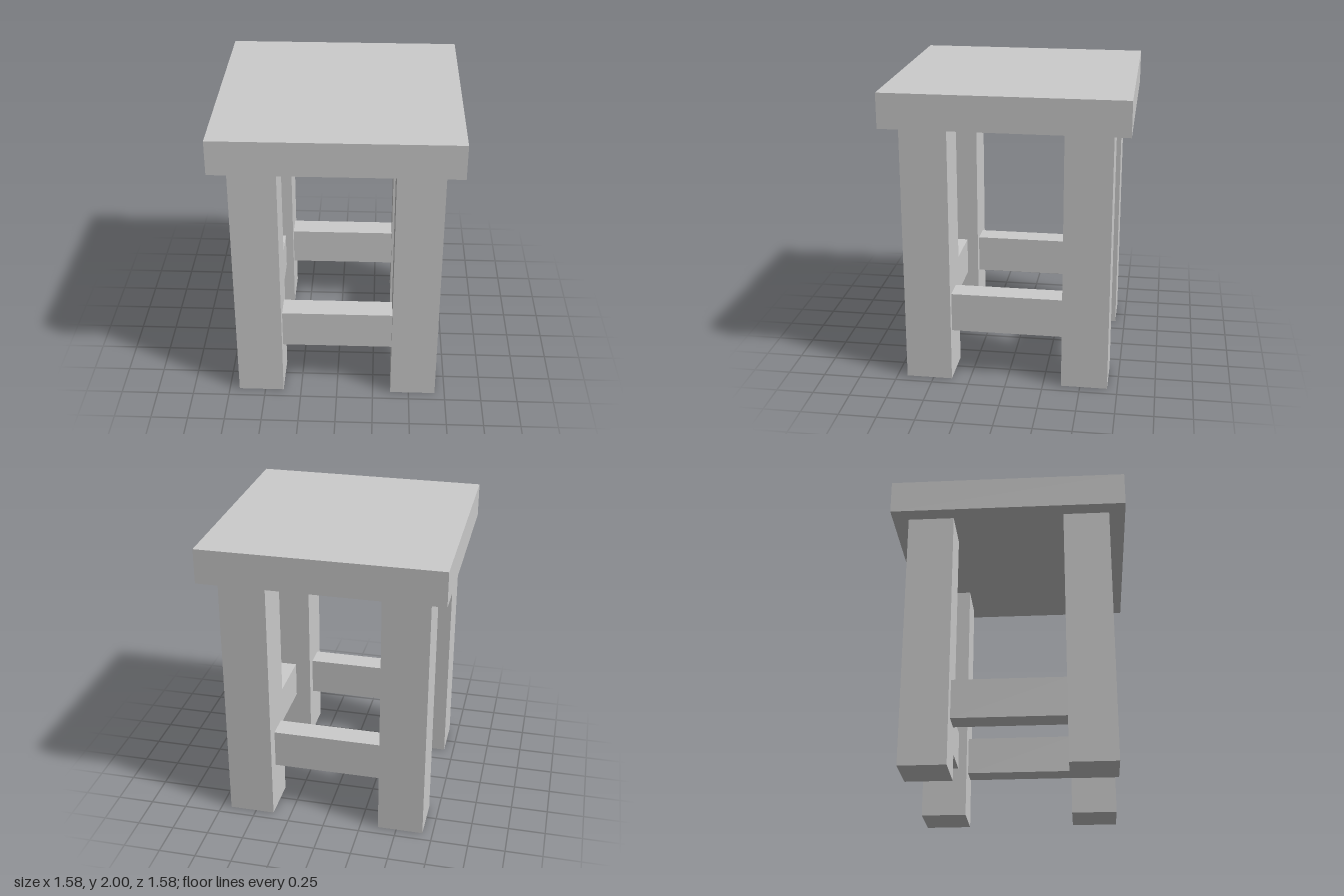
import * as THREE from 'three';

export function createModel() {
  const model = new THREE.Group();
  model.name = 'stool';
  const material = new THREE.MeshStandardMaterial({ color: 0xcccccc, flatShading: true });

  // Box given by its extents along each axis
  const addBox = (name, [x0, x1], [y0, y1], [z0, z1]) => {
    const mesh = new THREE.Mesh(new THREE.BoxGeometry(x1 - x0, y1 - y0, z1 - z0), material);
    mesh.position.set((x0 + x1) / 2, (y0 + y1) / 2, (z0 + z1) / 2);
    mesh.name = name;
    model.add(mesh);
  };

  const seatBottom = 1.77;
  addBox('seat', [-0.79, 0.79], [seatBottom, 2], [-0.79, 0.79]);

  // Four square legs
  const near = [0.373, 0.682], far = [-0.682, -0.373];
  for (const [xName, x] of [['Left', near], ['Right', far]]) {
    for (const [zName, z] of [['front', near], ['back', far]]) {
      addBox(`${zName}${xName}Leg`, x, [0, seatBottom], z);
    }
  }

  // Rails between the legs, each set at its own depth
  const span = [-0.373, 0.373], height = [0.343, 0.608];
  addBox('frontRail', span, height, [0.452, 0.61]);
  addBox('backRail', span, height, [-0.59, -0.432]);
  addBox('leftRail', [0.482, 0.64], height, span);
  addBox('rightRail', [-0.586, -0.428], height, span);

  return model;
}
